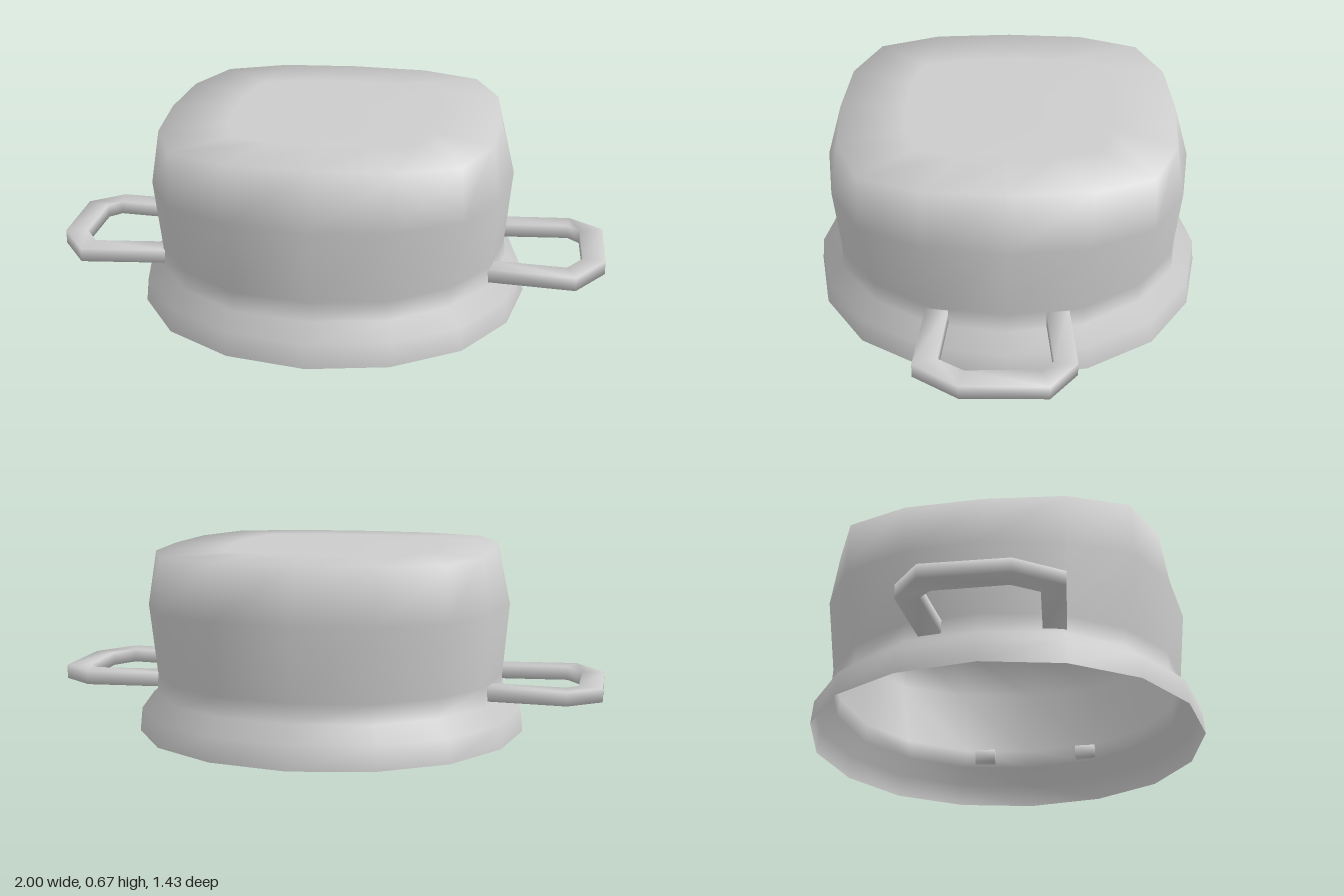
import * as THREE from 'three';

// Joins equal-length rings of points into a smooth surface; optional end caps
function loft(rings, capStart, capEnd) {
  const n = rings[0].length, pos = rings.flat(2), idx = [];
  for (let i = 0; i < rings.length - 1; i++) {
    for (let j = 0; j < n; j++) {
      const a = i * n + j, b = i * n + (j + 1) % n;
      idx.push(a, a + n, b, b, a + n, b + n);
    }
  }
  const cap = (ring, start, flip) => {
    const c = pos.length / 3;
    const sum = ring.reduce((s, p) => s.map((v, k) => v + p[k] / n), [0, 0, 0]);
    pos.push(...sum);
    for (let j = 0; j < n; j++) {
      const a = start + j, b = start + (j + 1) % n;
      flip ? idx.push(c, a, b) : idx.push(c, b, a);
    }
  };
  if (capStart) cap(rings[0], 0, true);
  if (capEnd) cap(rings[rings.length - 1], (rings.length - 1) * n, false);
  const g = new THREE.BufferGeometry();
  g.setAttribute('position', new THREE.Float32BufferAttribute(pos, 3));
  g.setIndex(idx);
  g.computeVertexNormals();
  return g;
}

// Sixteen-sided ring: middle-of-side radius, a point beside it, and the corner
function bodyRing([y, mid, long, short, corner]) {
  const quarter = [[mid, 0], [long, short], [corner, corner], [short, long]];
  const ring = [];
  for (let k = 0; k < 4; k++) {
    for (const [x, z] of quarter) {
      const [px, pz] = [[x, z], [-z, x], [-x, -z], [z, -x]][k];
      ring.push([px, y, pz]);
    }
  }
  return ring;
}

export function createModel() {
  const model = new THREE.Group();
  const metal = new THREE.MeshStandardMaterial({ color: 0xcccccc, side: THREE.DoubleSide });
  metal.name = 'light grey metal';

  // Upturned pot: flared lip, narrow neck, squarish shoulder and flat roof
  const profile = [
    [0, 0.713, 0.66, 0.28, 0.512],
    [0.085, 0.705, 0.652, 0.277, 0.507],
    [0.14, 0.64, 0.598, 0.262, 0.462],
    [0.21, 0.635, 0.593, 0.262, 0.46],
    [0.47, 0.658, 0.617, 0.28, 0.503],
    [0.665, 0.604, 0.585, 0.28, 0.495],
    [0.671, 0.37, 0.36, 0.17, 0.32],
  ];
  const body = new THREE.Mesh(loft(profile.map(bodyRing), false, true), metal);
  body.name = 'potBody';
  model.add(body);

  // Bracket handles: a rectangular bar swept along a bent path (outer and inner edge)
  const outer = [[0.575, -0.213], [0.88, -0.235], [1, -0.142], [1, 0.15], [0.893, 0.305], [0.575, 0.275]];
  const inner = [[0.575, -0.133], [0.873, -0.157], [0.915, -0.115], [0.92, 0.135], [0.862, 0.222], [0.575, 0.196]];
  const low = 0.153, high = 0.203;
  for (const side of [1, -1]) {
    const rings = outer.map(([ox, oz], i) => {
      const [ix, iz] = inner[i];
      const ring = [
        [side * ox, low, oz], [side * ox, high, oz],
        [side * ix, high, iz], [side * ix, low, iz],
      ];
      return side > 0 ? ring.reverse() : ring;
    });
    const g = loft(rings, true, true);
    // Make sure the bar's faces point outward
    const p = g.attributes.position, v = [0, 1, 2].map(() => new THREE.Vector3());
    let volume = 0;
    for (let i = 0; i < g.index.count; i += 3) {
      v.forEach((q, k) => q.fromBufferAttribute(p, g.index.getX(i + k)));
      volume += v[0].dot(v[1].clone().cross(v[2]));
    }
    if (volume < 0) {
      g.setIndex(Array.from(g.index.array).reverse());
      g.computeVertexNormals();
    }
    const handle = new THREE.Mesh(g, metal);
    handle.name = side > 0 ? 'leftHandle' : 'rightHandle';
    model.add(handle);
  }
  return model;
}
